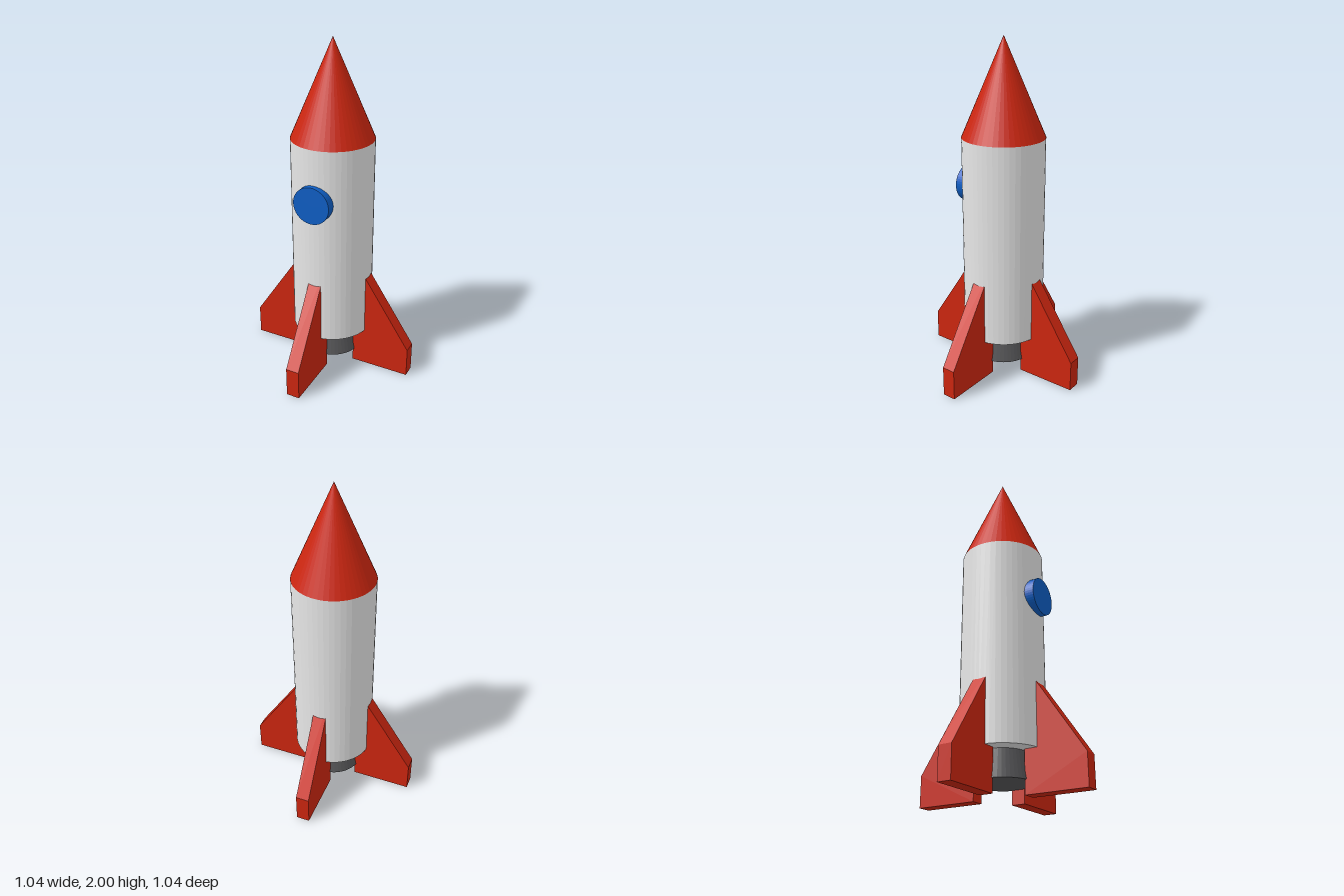
import * as THREE from 'three';

const mat = (name, color) => {
  const m = new THREE.MeshStandardMaterial({ color, flatShading: true });
  m.name = name;
  return m;
};

export function createModel() {
  const rocket = new THREE.Group();
  rocket.name = 'rocket';

  const red = mat('red', 0xcc2610);
  const white = mat('white', 0xe6e6e6);
  const blue = mat('blue', 0x0f5ec4);
  const grey = mat('darkGrey', 0x58585a);

  const add = (name, geometry, material, x = 0, y = 0, z = 0) => {
    const mesh = new THREE.Mesh(geometry, material);
    mesh.name = name;
    mesh.position.set(x, y, z);
    rocket.add(mesh);
    return mesh;
  };

  // Hull, nose and engine
  add('body', new THREE.CylinderGeometry(0.24, 0.24, 1.2, 48), white, 0, 0.84);
  add('noseCone', new THREE.ConeGeometry(0.24, 0.56, 48), red, 0, 1.72);
  add('nozzle', new THREE.CylinderGeometry(0.145, 0.175, 0.16, 48), grey, 0, 0.16);

  // Round porthole standing out of the front of the hull
  const porthole = new THREE.CylinderGeometry(0.11, 0.11, 0.08, 48).rotateX(Math.PI / 2);
  add('porthole', porthole, blue, 0, 1.125, 0.23);

  // Four swept fins, running into the hull
  const outline = new THREE.Shape([
    new THREE.Vector2(0.16, 0),
    new THREE.Vector2(0.52, 0),
    new THREE.Vector2(0.52, 0.18),
    new THREE.Vector2(0.16, 0.72),
  ]);
  const finGeometry = new THREE.ExtrudeGeometry(outline, { depth: 0.08, bevelEnabled: false });
  finGeometry.translate(0, 0, -0.04);
  ['leftFin', 'backFin', 'rightFin', 'frontFin'].forEach((name, i) => {
    add(name, finGeometry, red).rotation.y = (i * Math.PI) / 2;
  });

  return rocket;
}
